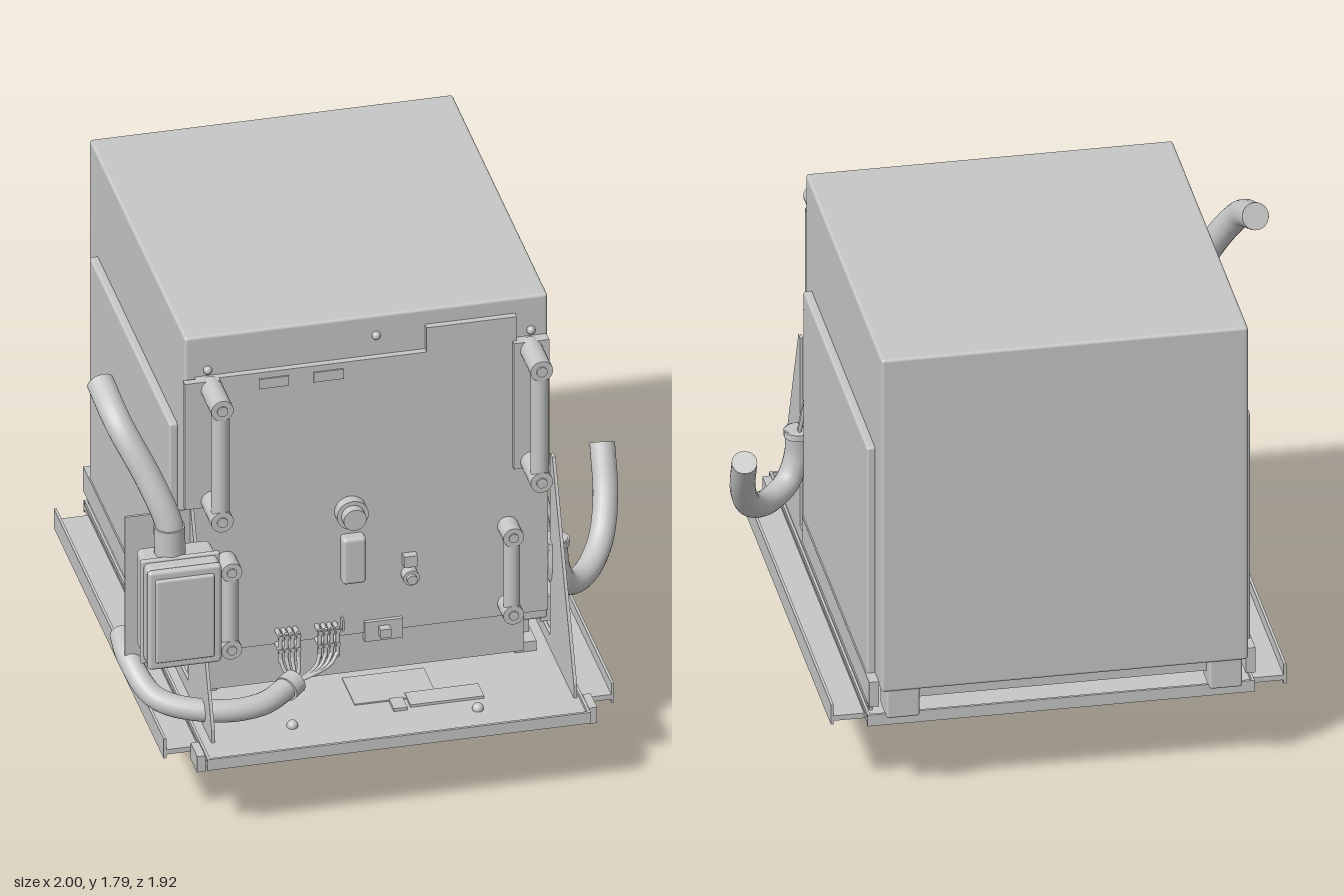
import * as THREE from 'three';
import { RoundedBoxGeometry } from 'three/addons/geometries/RoundedBoxGeometry.js';

export function createModel() {
  const root = new THREE.Group();
  root.name = 'equipmentCabinet';
  const grey = new THREE.MeshStandardMaterial({ color: 0xc6c6c6, side: THREE.DoubleSide });
  grey.name = 'light grey';

  const add = (name, geo, x = 0, y = 0, z = 0) => {
    const m = new THREE.Mesh(geo, grey);
    m.name = name;
    m.position.set(x, y, z);
    root.add(m);
    return m;
  };
  // boxes are given by their limits on each axis
  const box = (name, x0, x1, y0, y1, z0, z1, r = 0) => add(name,
    r ? new RoundedBoxGeometry(x1 - x0, y1 - y0, z1 - z0, 3, r) : new THREE.BoxGeometry(x1 - x0, y1 - y0, z1 - z0),
    (x0 + x1) / 2, (y0 + y1) / 2, (z0 + z1) / 2);
  // round rod between two points
  const rod = (name, a, b, r, sides = 20) => {
    const p = new THREE.Vector3(...a), q = new THREE.Vector3(...b), d = q.clone().sub(p);
    const m = add(name, new THREE.CylinderGeometry(r, r, d.length(), sides));
    m.position.copy(p).add(q).multiplyScalar(0.5);
    m.quaternion.setFromUnitVectors(new THREE.Vector3(0, 1, 0), d.normalize());
    return m;
  };
  // bent hose with closed ends
  const hose = (name, pts, r, steps = 40, sides = 18) => {
    const curve = new THREE.CatmullRomCurve3(pts.map(p => new THREE.Vector3(...p)));
    add(name, new THREE.TubeGeometry(curve, steps, r, sides));
    for (const t of [0, 1]) {
      const cap = add(name + 'End', new THREE.CircleGeometry(r, sides));
      cap.position.copy(curve.getPointAt(t));
      const dir = curve.getTangentAt(t).multiplyScalar(t ? 1 : -1);
      cap.quaternion.setFromUnitVectors(new THREE.Vector3(0, 0, 1), dir);
    }
  };

  // cabinet body with its side panels
  box('cabinet', -0.68, 0.65, 0.45, 1.793, -0.96, 0.475, 0.012);
  box('rightSidePanel', -0.71, -0.675, 0.41, 1.38, -0.84, 0.365, 0.01);
  box('leftSidePanel', 0.645, 0.68, 0.41, 1.38, -0.84, 0.365, 0.01);
  box('rightSideRail', -0.715, -0.68, 0.37, 0.47, -0.91, 0.36);
  box('leftSideRail', 0.65, 0.685, 0.37, 0.47, -0.91, 0.36);

  // feet and skids under the cabinet
  for (const [x0, x1] of [[-0.66, -0.54], [0.51, 0.63]]) {
    box('rearFoot', x0, x1, 0.34, 0.46, -0.955, -0.83, 0.01);
    box('skid', x0 + 0.03, x1 - 0.03, 0.36, 0.46, -0.83, 0.4);
    box('skidPad', x0 + 0.02, x1 - 0.02, 0.31, 0.36, 0.35, 0.47);
  }
  box('lowerFrontPanel', -0.66, 0.56, 0.335, 0.5, 0.455, 0.485);
  box('rearCrossbar', -0.54, 0.51, 0.39, 0.45, -0.9, -0.87);

  // base plate, raised side lips and long tray
  box('basePlate', -0.84, 0.81, 0.29, 0.31, -0.84, 0.815);
  box('rightBaseLip', -0.84, -0.83, 0.275, 0.355, -0.84, 0.815);
  box('leftBaseLip', 0.8, 0.81, 0.275, 0.355, -0.84, 0.815);
  box('tray', -0.715, 0.69, 0.3, 0.32, -0.905, 0.96);
  box('trayFrontLip', -0.715, 0.69, 0.29, 0.335, 0.95, 0.96);
  box('trayRearLip', -0.715, 0.69, 0.29, 0.335, -0.905, -0.895);
  for (const x of [-0.73, 0.705]) {
    box('trayTab', x - 0.015, x + 0.015, 0.27, 0.335, 0.83, 0.93);
    box('traySideLip', x * 0.97 - 0.005, x * 0.97 + 0.005, 0.31, 0.335, -0.905, 0.96);
  }

  // sloping gussets joining cabinet and base, drawn in (z, y)
  const gusset = new THREE.Shape([[-0.84, 0.31], [0.825, 0.31], [0.825, 0.375], [0.5, 1.13],
    [0.47, 1.13], [0.47, 0.375], [-0.84, 0.33]].map(p => new THREE.Vector2(...p)));
  const gussetGeo = new THREE.ExtrudeGeometry(gusset, { depth: 0.012, bevelEnabled: false });
  gussetGeo.rotateY(-Math.PI / 2).scale(1, 1, 1);
  add('rightGusset', gussetGeo, -0.655);
  add('leftGusset', gussetGeo, 0.672);

  // stepped front cover
  const cover = new THREE.Shape([[-0.645, 0.5], [0.645, 0.5], [0.645, 1.63], [0.53, 1.63], [0.53, 1.73],
    [0.2, 1.73], [0.2, 1.63], [-0.645, 1.63]].map(p => new THREE.Vector2(...p)));
  add('frontCover', new THREE.ExtrudeGeometry(cover, { depth: 0.025, bevelEnabled: false }), 0, 0, 0.475);
  for (const x of [-0.36, -0.16]) box('coverLabelPlate', x - 0.055, x + 0.055, 1.565, 1.605, 0.5, 0.506);
  for (const [x, y] of [[0.02, 1.712], [-0.597, 1.655], [0.587, 1.655]])
    add('screwHead', new THREE.SphereGeometry(0.016, 12, 8), x, y, 0.48);

  // handles: two standoffs and a round grip
  const handle = (x, y0, y1, z, r) => {
    for (const y of [y0, y1]) {
      rod('handleStandoff', [x, y, 0.49], [x, y, z + r], r + 0.008);
      rod('handleScrew', [x, y, z + r], [x, y, z + r + 0.006], r * 0.6);
    }
    rod('handleGrip', [x, y0, z], [x, y1, z], r);
  };
  for (const x of [-0.59, 0.58]) {
    handle(x, 1.135, 1.595, 0.64, 0.033);
    const s = Math.sign(x);
    box('handlePlate', x + s * 0.05 - 0.065 * (s > 0) - 0.05, x + s * 0.05 + 0.065 * (s < 0) + 0.05 - 0.035, 1.11, 1.63, 0.49, 0.518);
  }
  for (const x of [-0.535, 0.497]) handle(x, 0.55, 0.87, 0.56, 0.03);

  // controls on the front cover
  rod('knobBase', [-0.08, 1.015, 0.49], [-0.08, 1.015, 0.54], 0.058, 28);
  rod('knob', [-0.08, 1.015, 0.54], [-0.08, 1.015, 0.575], 0.042, 28);
  box('switchCover', -0.117, -0.03, 0.73, 0.92, 0.49, 0.545, 0.015);
  rod('socket', [0.135, 0.725, 0.49], [0.135, 0.725, 0.54], 0.03);
  rod('socketPin', [0.135, 0.725, 0.54], [0.135, 0.725, 0.555], 0.019);
  box('socketLabel', 0.11, 0.16, 0.765, 0.81, 0.49, 0.53);
  box('latchPlate', -0.03, 0.11, 0.47, 0.55, 0.48, 0.515);
  box('latch', 0.02, 0.06, 0.495, 0.53, 0.51, 0.545);

  // cable connectors and their loose wires
  for (const cx of [-0.315, -0.17]) {
    for (let i = 0; i < 4; i++) {
      const x = cx - 0.033 + i * 0.022;
      for (const y of [0.5, 0.555]) {
        rod('connectorPin', [x, y, 0.49], [x, y, 0.56], 0.009, 10);
        rod('connectorSleeve', [x, y - 0.05, 0.55], [x, y + 0.012, 0.55], 0.008, 10);
      }
      hose('connectorWire', [[x, 0.47, 0.55], [x * 0.8 - 0.06, 0.43, 0.57], [-0.3, 0.39, 0.6]], 0.007, 12, 8);
    }
  }
  box('cableTie', -0.115, -0.108, 0.535, 0.58, 0.49, 0.53);

  // conduit along the base
  hose('lowerConduit', [[-0.88, 0.52, 0.34], [-0.885, 0.5, 0.47], [-0.82, 0.41, 0.62], [-0.62, 0.375, 0.7],
    [-0.45, 0.37, 0.685], [-0.31, 0.385, 0.59]], 0.042);
  rod('conduitCollar', [-0.345, 0.38, 0.62], [-0.305, 0.387, 0.585], 0.048);

  // junction box on its bracket
  box('junctionBracket', -0.905, -0.64, 0.47, 1.1, 0.49, 0.5);
  box('bracketArm', -0.66, -0.6, 0.735, 0.935, 0.58, 0.67);
  box('bracketStandoff', -0.85, -0.66, 0.7, 0.95, 0.5, 0.64);
  box('junctionBox', -0.885, -0.615, 0.62, 1.02, 0.58, 0.75, 0.02);
  box('junctionFlange', -0.895, -0.605, 0.605, 1.03, 0.68, 0.7, 0.008);
  box('junctionLid', -0.885, -0.615, 0.615, 1.02, 0.74, 0.77, 0.014);
  box('lidPanel', -0.86, -0.645, 0.65, 0.99, 0.765, 0.785, 0.008);

  // upper conduit
  hose('upperConduit', [[-0.775, 1.0, 0.64], [-0.775, 1.12, 0.64], [-0.83, 1.28, 0.585], [-0.92, 1.47, 0.47],
    [-0.947, 1.55, 0.3]], 0.05);
  rod('upperCollar', [-0.775, 1.02, 0.64], [-0.777, 1.13, 0.64], 0.056);

  // side conduit with bare wires
  hose('sideConduit', [[0.68, 0.77, 0.46], [0.685, 0.66, 0.465], [0.725, 0.57, 0.44], [0.81, 0.545, 0.36],
    [0.895, 0.6, 0.25], [0.94, 0.72, 0.15], [0.955, 0.885, 0.04]], 0.046);
  rod('sideCollar', [0.68, 0.745, 0.46], [0.68, 0.77, 0.46], 0.052);
  for (const d of [0, 0.014])
    hose('sideWire', [[0.68, 0.75, 0.46 - d], [0.668, 0.85, 0.44 - d], [0.655, 0.93, 0.43 - d]], 0.007, 12, 8);

  // plates and knobs on the tray
  box('trayPlate', -0.11, 0.19, 0.318, 0.325, 0.5, 0.69);
  box('trayCoverPlate', 0.08, 0.35, 0.318, 0.33, 0.66, 0.75);
  box('trayClip', 0.015, 0.065, 0.318, 0.332, 0.69, 0.765);
  for (const [x, z] of [[-0.36, 0.78], [0.31, 0.82]])
    add('trayStud', new THREE.SphereGeometry(0.021, 16, 10), x, 0.325, z);

  // leads hanging below the base
  for (const [x, bend] of [[-0.085, -0.07], [-0.015, -0.015], [0.055, 0.04]])
    hose('hangingLead', [[x, 0.3, -0.055], [x, 0.2, -0.06], [bend, 0.11, -0.11], [bend * 0.6, 0.075, -0.17],
      [bend * 0.6, 0.08, -0.265]], 0.01, 24, 10);
  add('leadRing', new THREE.TorusGeometry(0.042, 0.011, 10, 28), -0.015, 0.082, -0.243);
  rod('rightDropWire', [-0.153, 0.29, -0.045], [-0.167, 0, -0.08], 0.004, 8);
  rod('leftDropWire', [0.125, 0.29, -0.045], [0.14, 0, -0.08], 0.004, 8);

  return root;
}
